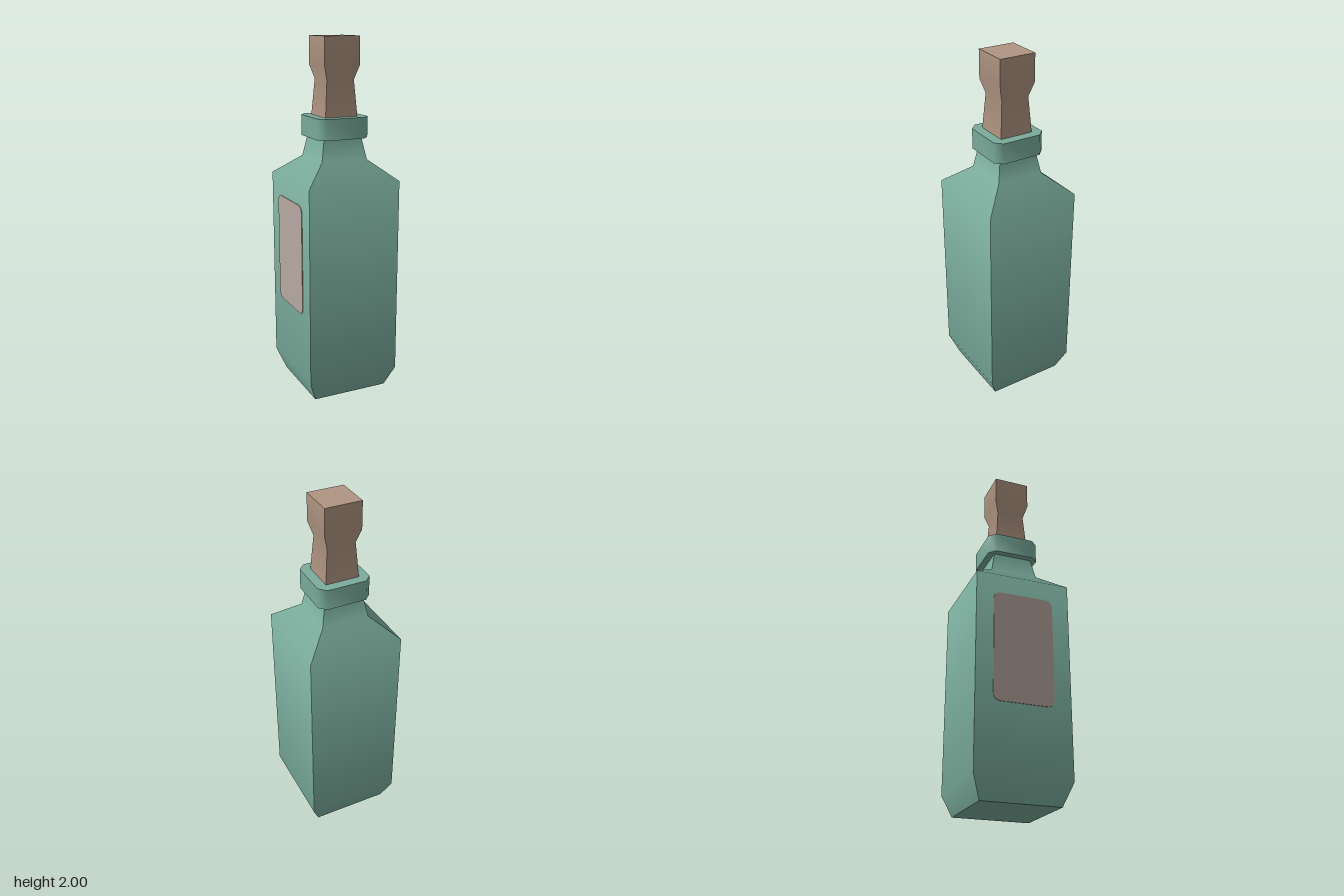
import * as THREE from 'three';
import { toCreasedNormals } from 'three/addons/utils/BufferGeometryUtils.js';

// Square column following a [halfWidth, height] profile:
// smooth along the height, sharp at the four vertical edges, capped flat.
function squareLoft(profile) {
  const pos = [], nor = [], index = [];
  const slopes = profile.slice(1).map(([w, y], i) => {
    const [w0, y0] = profile[i];
    return new THREE.Vector2(y - y0, w0 - w).normalize(); // (outward, up)
  });
  const last = profile.length - 1;
  for (let side = 0; side < 4; side++) {
    const base = pos.length / 3;
    const a = side * Math.PI / 2, s = Math.round(Math.sin(a)), c = Math.round(Math.cos(a));
    profile.forEach(([w, y], i) => {
      const n = slopes[Math.max(i - 1, 0)].clone().add(slopes[Math.min(i, last - 1)]).normalize();
      for (const u of [-w, w]) {
        pos.push(u * c + w * s, y, w * c - u * s);
        nor.push(n.x * s, n.y, n.x * c);
      }
    });
    for (let i = 0; i < last; i++) {
      const k = base + i * 2;
      index.push(k, k + 1, k + 3, k, k + 3, k + 2);
    }
  }
  // flat bottom and top
  for (const [[w, y], up] of [[profile[0], -1], [profile[last], 1]]) {
    const k = pos.length / 3;
    for (const [x, z] of [[-1, 1], [1, 1], [1, -1], [-1, -1]]) {
      pos.push(x * w, y, z * w * up);
      nor.push(0, up, 0);
    }
    index.push(k, k + 1, k + 2, k, k + 2, k + 3);
  }
  const geo = new THREE.BufferGeometry();
  geo.setAttribute('position', new THREE.Float32BufferAttribute(pos, 3));
  geo.setAttribute('normal', new THREE.Float32BufferAttribute(nor, 3));
  geo.setIndex(index);
  return geo;
}

// Rectangle with cut or rounded corners
function cornerRect(hw, hh, r, rounded) {
  const s = new THREE.Shape();
  const corner = (cx, cy, x, y) => (rounded ? s.quadraticCurveTo(cx, cy, x, y) : s.lineTo(x, y));
  s.moveTo(-hw + r, -hh);
  s.lineTo(hw - r, -hh);
  corner(hw, -hh, hw, -hh + r);
  s.lineTo(hw, hh - r);
  corner(hw, hh, hw - r, hh);
  s.lineTo(-hw + r, hh);
  corner(-hw, hh, -hw, hh - r);
  s.lineTo(-hw, -hh + r);
  corner(-hw, -hh, -hw + r, -hh);
  return s;
}

export function createModel() {
  const group = new THREE.Group();
  group.name = 'bottle';
  const material = (name, color) => {
    const m = new THREE.MeshStandardMaterial({ color });
    m.name = name;
    return m;
  };
  const glass = material('green glass', 0x7aac9c);
  const corkMat = material('cork', 0xb09582);
  const paper = material('label paper', 0xb8a8a0);
  const add = (name, geo, mat) => {
    const mesh = new THREE.Mesh(geo, mat);
    mesh.name = name;
    group.add(mesh);
    return mesh;
  };

  // Body with tapered foot, shoulders and neck
  add('body', squareLoft([[0.22, 0], [0.268, 0.12], [0.268, 1.23], [0.135, 1.34], [0.11, 1.47]]), glass);

  // Collar with cut corners
  const collar = new THREE.ExtrudeGeometry(cornerRect(0.149, 0.149, 0.038, false), { depth: 0.115, bevelEnabled: false });
  collar.rotateX(-Math.PI / 2);
  add('collar', toCreasedNormals(collar, 0.9), glass).position.y = 1.458;

  // Waisted stopper
  add('stopper', squareLoft([[0.096, 1.56], [0.08, 1.77], [0.103, 1.845], [0.103, 2]]), corkMat);

  // Label on the right side
  const labelGeo = new THREE.ExtrudeGeometry(cornerRect(0.17, 0.31, 0.045, true),
    { depth: 0.005, bevelEnabled: false, curveSegments: 5 });
  const label = add('label', labelGeo, paper);
  label.rotation.y = -Math.PI / 2;
  label.position.set(-0.267, 0.81, 0);

  return group;
}
